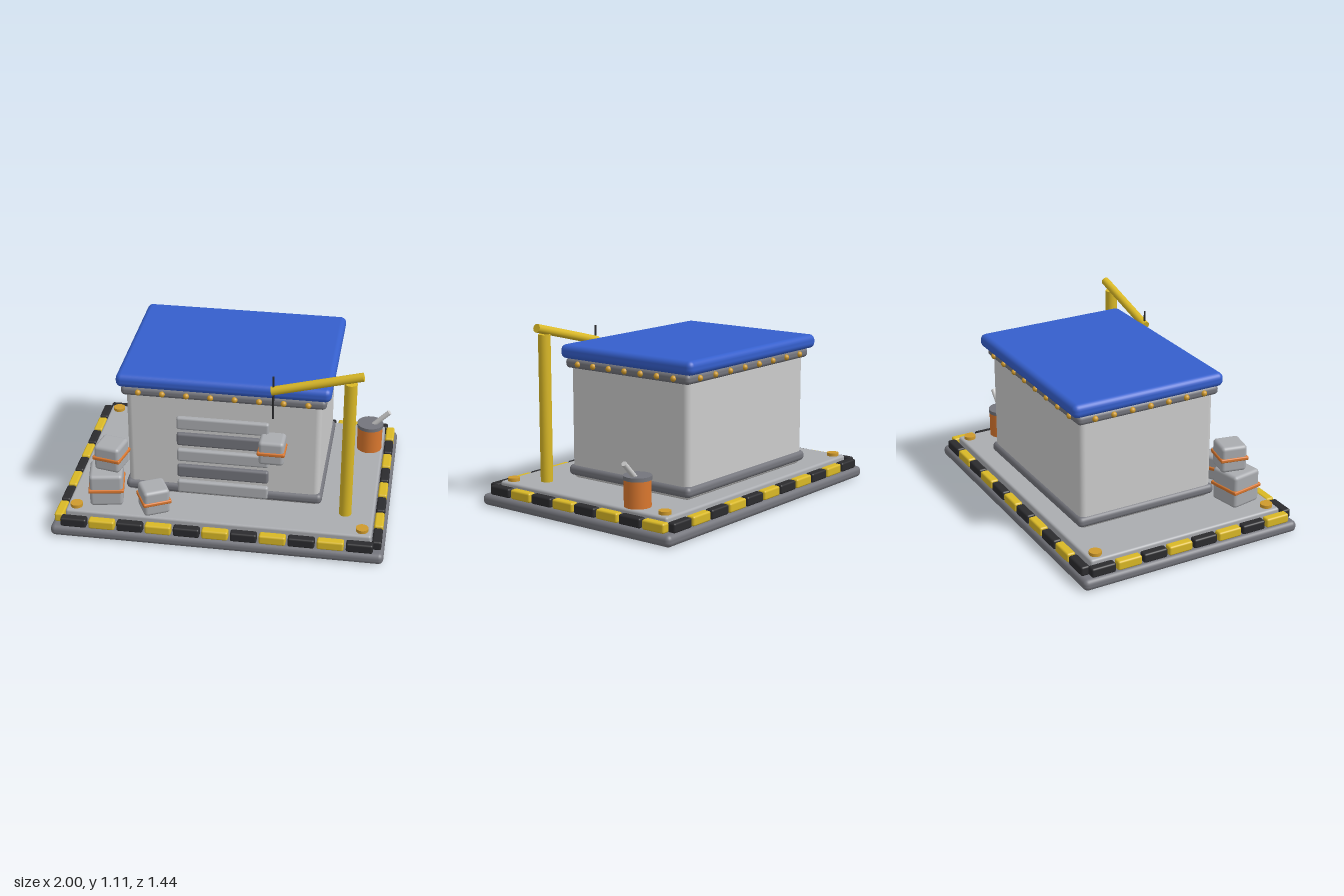
import * as THREE from 'three';
import { RoundedBoxGeometry } from 'three/addons/geometries/RoundedBoxGeometry.js';

const paint = (color) => new THREE.MeshStandardMaterial({ color });
const M = {
  wall: paint(0xcccccc), deck: paint(0xaaacb0), steel: paint(0x74757c), black: paint(0x2b2b2e),
  yellow: paint(0xd9b826), brass: paint(0xcf9a2c), blue: paint(0x355fcc), orange: paint(0xd9772e),
};

export function createModel() {
  const model = new THREE.Group();

  const add = (parent, name, geometry, material, x, y, z) => {
    const mesh = new THREE.Mesh(geometry, material);
    mesh.name = name;
    mesh.position.set(x, y, z);
    parent.add(mesh);
    return mesh;
  };
  // Rounded block given by its size, bottom height and centre
  const block = (parent, name, [w, h, d], r, material, x, y0, z) =>
    add(parent, name, new RoundedBoxGeometry(w, h, d, 3, r), material, x, y0 + h / 2, z);
  // Round bar between two points
  const bar = (parent, name, a, b, r, material) => {
    const from = new THREE.Vector3(...a), dir = new THREE.Vector3(...b).sub(from);
    const mid = from.clone().addScaledVector(dir, 0.5);
    const mesh = add(parent, name, new THREE.CylinderGeometry(r, r, dir.length(), 24), material, mid.x, mid.y, mid.z);
    mesh.quaternion.setFromUnitVectors(new THREE.Vector3(0, 1, 0), dir.normalize());
    return mesh;
  };
  const group = (name) => {
    const g = new THREE.Group();
    g.name = name;
    model.add(g);
    return g;
  };

  // Platform
  const platform = group('platform');
  block(platform, 'base', [2, 0.07, 1.44], 0.03, M.steel, 0, 0, 0);
  block(platform, 'deck', [1.84, 0.095, 1.28], 0.015, M.deck, 0, 0.05, 0);

  // Hazard border: alternating tiles along all four sides
  const border = group('hazardBorder');
  for (const side of [-1, 1]) {
    for (let i = 0; i < 11; i++) {
      block(border, 'borderTile', [0.158, 0.058, 0.055], 0.012, i % 2 ? M.yellow : M.black,
        (i - 5) * 0.1715, 0.069, side * 0.682);
    }
    for (let i = 0; i < 8; i++) {
      const dark = (i % 2 === 0) === (side < 0);
      block(border, 'borderTile', [0.055, 0.058, 0.155], 0.012, dark ? M.black : M.yellow,
        side * 0.955, 0.069, (i - 3.5) * 0.168);
    }
    for (const end of [-1, 1]) {
      add(platform, 'cornerBolt', new THREE.CylinderGeometry(0.037, 0.037, 0.03, 24), M.brass,
        side * 0.862, 0.15, end * 0.582);
    }
  }

  // Building
  const building = group('building');
  const cz = -0.08;
  block(building, 'walls', [1.166, 0.71, 0.89], 0.035, M.wall, 0, 0.14, cz);
  block(building, 'plinth', [1.2, 0.065, 0.925], 0.028, M.steel, 0, 0.16, cz);
  block(building, 'eavesTrim', [1.22, 0.06, 0.935], 0.025, M.steel, 0, 0.82, cz);
  block(building, 'roof', [1.274, 0.085, 0.992], 0.035, M.blue, 0, 0.878, -0.09);

  // Rivets around the trim
  const rivet = new THREE.SphereGeometry(0.018, 16, 12);
  for (const side of [-1, 1]) {
    for (let i = 0; i < 8; i++) {
      add(building, 'rivet', rivet, M.brass, (i - 3.5) * 0.144, 0.85, cz + side * 0.468);
    }
    for (let i = 0; i < 7; i++) {
      add(building, 'rivet', rivet, M.brass, side * 0.61, 0.85, cz + (i - 3) * 0.1205);
    }
  }

  // Shutter slats
  for (let i = 0; i < 5; i++) {
    block(building, 'shutterSlat', [0.555, 0.084, 0.05], 0.015, i % 2 ? M.steel : M.deck,
      -0.002, 0.172 + i * 0.111, 0.365);
  }

  // Strapped crates
  const crate = (name, size, height, x, y0, z, turn) => {
    const g = group(name);
    block(g, 'crateBox', [size, height, size], 0.022, M.deck, 0, 0, 0);
    block(g, 'crateStrap', [size + 0.014, 0.024, size + 0.014], 0.008, M.orange, 0, height / 2 - 0.012, 0);
    g.position.set(x, y0, z);
    g.rotation.y = turn;
  };
  crate('largeCrate', 0.2, 0.21, -0.697, 0.147, 0.47, 0.18);
  crate('stackedCrate', 0.162, 0.165, -0.668, 0.36, 0.438, -0.2);
  crate('smallCrate', 0.16, 0.165, -0.393, 0.147, 0.545, 0.48);
  crate('hangingCrate', 0.152, 0.155, 0.302, 0.481, 0.415, 0);

  // Crane
  const crane = group('crane');
  bar(crane, 'cranePost', [0.748, 0.14, 0.418], [0.748, 1.035, 0.418], 0.037, M.yellow);
  bar(crane, 'craneArm', [0.291, 0.943, 0.412], [0.818, 1.08, 0.412], 0.026, M.yellow);
  bar(crane, 'craneCable', [0.302, 0.76, 0.412], [0.302, 1.037, 0.412], 0.006, M.black);

  // Paint bucket with a handle sticking out
  const bucket = group('bucket');
  bar(bucket, 'bucketBody', [0.833, 0.145, -0.362], [0.833, 0.31, -0.362], 0.079, M.orange);
  bar(bucket, 'bucketLid', [0.833, 0.302, -0.362], [0.833, 0.325, -0.362], 0.083, M.steel);
  bar(bucket, 'brushHandle', [0.84, 0.3, -0.362], [0.951, 0.413, -0.362], 0.016, M.wall);

  return model;
}
